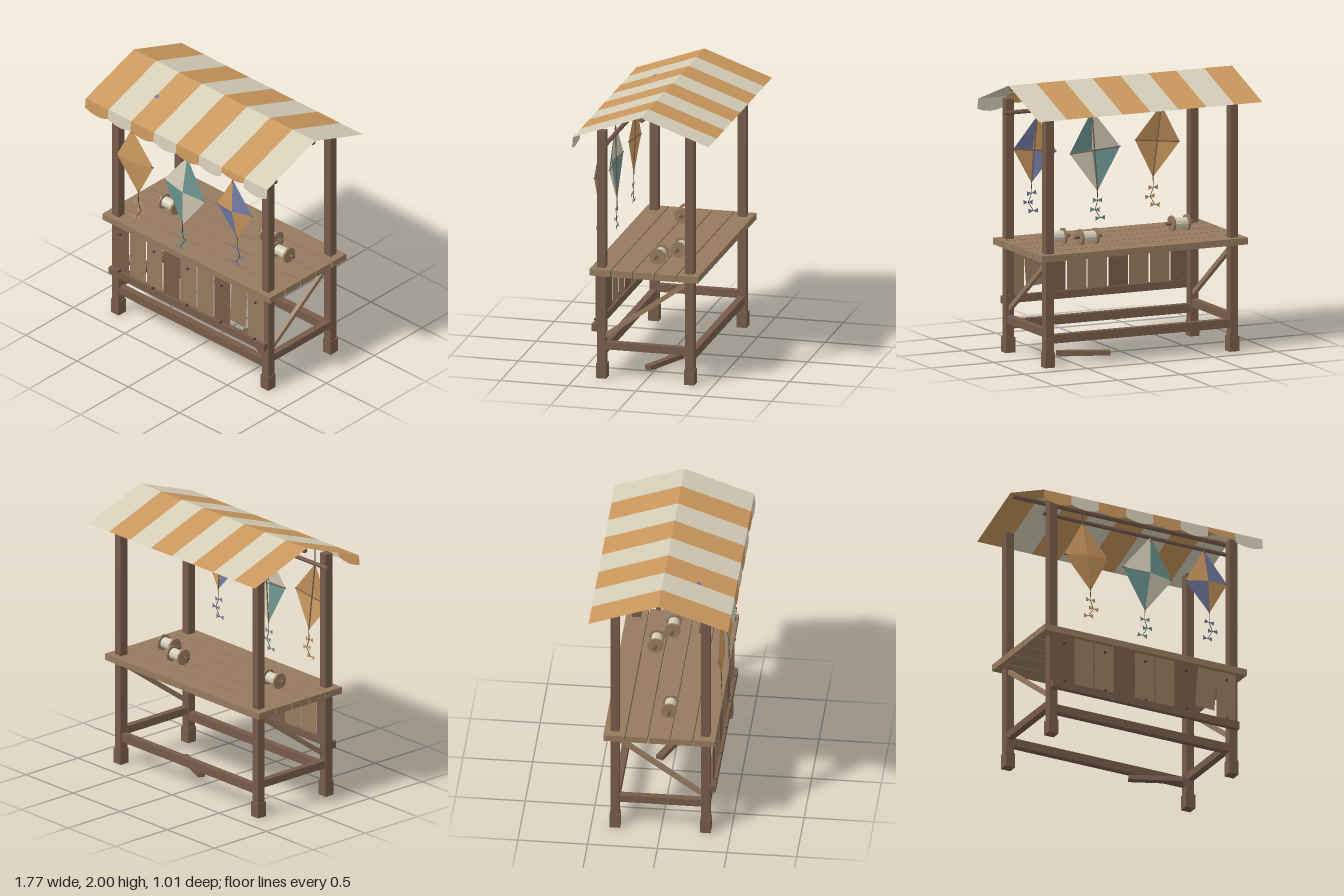
import * as THREE from 'three';

const mat = (name, color, side = THREE.FrontSide) => {
  const m = new THREE.MeshStandardMaterial({ color, side });
  m.name = name;
  return m;
};

export function createModel() {
  const root = new THREE.Group();
  root.name = 'kiteStall';
  const darkWood = mat('dark wood', 0x765b49, THREE.DoubleSide);
  const lightWood = mat('light wood', 0x957a5f, THREE.DoubleSide);
  const orange = mat('orange cloth', 0xc8965c, THREE.DoubleSide);
  const cream = mat('cream cloth', 0xd3ccb6, THREE.DoubleSide);
  const teal = mat('teal cloth', 0x6b938f, THREE.DoubleSide);
  const blue = mat('blue cloth', 0x7178a0, THREE.DoubleSide);
  const iron = mat('dark iron and string', 0x4a3c33);

  const add = (name, geo, material, parent = root) => {
    const m = new THREE.Mesh(geo, material);
    m.name = name;
    parent.add(m);
    return m;
  };
  const box = (name, material, w, h, d, x, y, z, parent) => {
    const m = add(name, new THREE.BoxGeometry(w, h, d), material, parent);
    m.position.set(x, y, z);
    return m;
  };
  // Straight rod between two points
  const rod = (name, material, a, b, r, sides = 8, parent = root) => {
    const A = new THREE.Vector3(...a), B = new THREE.Vector3(...b);
    const dir = B.clone().sub(A);
    const geo = new THREE.CylinderGeometry(r, r, dir.length(), sides).toNonIndexed();
    geo.computeVertexNormals();
    const m = add(name, geo, material, parent);
    m.position.copy(A).add(B).multiplyScalar(0.5);
    m.quaternion.setFromUnitVectors(new THREE.Vector3(0, 1, 0), dir.normalize());
    return m;
  };
  // Flat polygons, each a fan of triangles
  const cloth = (name, material, polys, parent = root) => {
    const pos = [];
    for (const p of polys)
      for (let i = 1; i < p.length - 1; i++) pos.push(...p[0], ...p[i], ...p[i + 1]);
    const geo = new THREE.BufferGeometry();
    geo.setAttribute('position', new THREE.Float32BufferAttribute(pos, 3));
    geo.computeVertexNormals();
    return add(name, geo, material, parent);
  };

  // Posts, feet, side rails and braces
  for (const x of [-0.73, 0.73]) {
    for (const z of [0.32, -0.33]) {
      box('post', darkWood, 0.062, 1.84, 0.063, x, 0.92, z);
      box('foot', darkWood, 0.076, 0.11, 0.076, x, 0.055, z);
    }
    box('sideRail', darkWood, 0.05, 0.055, 0.6, x, 0.243, -0.005);
    const brace = box('brace', lightWood, 0.03, 0.032, 0.74, x, 0.53, -0.005);
    brace.rotation.x = Math.atan2(0.43, 0.6);
  }
  for (const z of [0.32, -0.33]) box('longRail', darkWood, 1.4, 0.062, 0.05, 0, 0.203, z);

  // Counter planks
  for (let i = 0; i < 5; i++)
    box('counterPlank', lightWood, 1.635, 0.048, 0.153, -0.002, 0.8, 0.316 - i * 0.1615);

  // Front boards, one hanging loose, with nails and a bottom batten
  for (let i = 0; i < 9; i++) {
    const x = -0.658 + i * 0.1645, loose = i === 7;
    const h = loose ? 0.31 : 0.4;
    const board = add('frontBoard', new THREE.PlaneGeometry(0.155, h),
      i % 3 === 0 ? darkWood : lightWood);
    board.position.set(loose ? 0.495 : x, loose ? 0.61 : 0.57, loose ? 0.376 : 0.37);
    if (loose) board.rotation.z = -0.075;
    if (i % 2 === 0) {
      rod('nail', iron, [x, 0.71, 0.368], [x, 0.71, 0.388], 0.008, 6);
      rod('nail', iron, [x, 0.405, 0.375], [x, 0.405, 0.398], 0.008, 6);
    }
  }
  box('frontBatten', darkWood, 1.515, 0.055, 0.037, 0, 0.372, 0.3735);

  // Loose timber on the ground
  box('fallenTimber', darkWood, 0.387, 0.035, 0.053, 0.302, 0.0175, -0.027).rotation.y = -0.41;

  // Roof poles
  rod('ridgePole', darkWood, [-0.87, 1.978, -0.006], [0.87, 1.978, -0.006], 0.019);
  rod('frontPole', darkWood, [-0.78, 1.742, 0.29], [0.78, 1.742, 0.29], 0.016);

  // Striped awning with scalloped valance; one flap is torn short
  const W = 1.77 / 8, eave = 1.82, zr = -0.006, zf = 0.495, zb = -0.505;
  for (let i = 0; i < 8; i++) {
    const a = -0.885 + i * W, b = a + W, c = i % 2 ? cream : orange;
    cloth('awningStripe', c, [
      [[a, eave, zf], [b, eave, zf], [b, 2, zr], [a, 2, zr]],
      [[a, 2, zr], [b, 2, zr], [b, eave, zb], [a, eave, zb]],
    ]);
    const edge = i === 6 ? 1.782 : 1.745, low = i === 6 ? 1.762 : 1.722;
    cloth('valanceFlap', c, [[
      [a, eave, zf], [a, edge, 0.503], [a + W * 0.3, low + 0.006, 0.505],
      [a + W * 0.55, low, 0.505], [a + W * 0.8, low + 0.008, 0.505],
      [b, edge, 0.503], [b, eave, zf],
    ]]);
  }
  const patch = add('awningPatch', new THREE.CircleGeometry(0.02, 6), blue);
  patch.position.set(-0.43, 2 - 0.18 * (0.246 / 0.501) + 0.003, 0.24);
  patch.rotation.x = -Math.PI / 2 + Math.atan2(0.18, 0.501);

  // Line spools
  for (const [x, z] of [[-0.488, 0.037], [0.326, -0.148], [0.53, -0.048]]) {
    const g = new THREE.Group();
    g.name = 'spool';
    g.position.set(x, 0.884, z);
    root.add(g);
    rod('spoolAxle', darkWood, [-0.108, 0, 0], [0.108, 0, 0], 0.012, 8, g);
    rod('woundLine', cream, [-0.055, 0, 0], [0.055, 0, 0], 0.04, 12, g);
    for (const s of [-1, 1])
      rod('spoolFlange', lightWood, [s * 0.051, 0, 0], [s * 0.067, 0, 0], 0.058, 12, g);
  }

  // Kites: corners top, right, bottom, left, then centre; cloth A is top left and bottom right
  const kites = [
    { a: orange, b: orange, tail: orange, z: 0.402, c: [-0.5, 1.42],
      p: [[-0.522, 1.677], [-0.313, 1.438], [-0.456, 1.157], [-0.668, 1.398]],
      bows: [[-0.459, 1.082, 0], [-0.433, 1.018, -0.1], [-0.474, 0.955, 0.1]] },
    { a: cream, b: teal, tail: teal, z: 0.41, c: [0.008, 1.388],
      p: [[0.024, 1.68], [0.2, 1.376], [-0.02, 1.09], [-0.2, 1.4]],
      bows: [[-0.022, 1.023, 0.05], [-0.002, 0.957, 0.1], [-0.043, 0.893, -0.05]] },
    { a: orange, b: blue, tail: blue, z: 0.402, c: [0.482, 1.43],
      p: [[0.46, 1.677], [0.65, 1.45], [0.507, 1.195], [0.31, 1.41]],
      bows: [[0.504, 1.12, -0.1], [0.532, 1.055, 0.05], [0.49, 0.99, 0]] },
  ];
  for (const k of kites) {
    const g = new THREE.Group();
    g.name = 'kite';
    root.add(g);
    const [top, right, bottom, left] = k.p.map(([x, y]) => [x, y, k.z]);
    const mid = [...k.c, k.z + 0.032];
    cloth('kitePanelsA', k.a, [[left, mid, top], [right, mid, bottom]], g);
    cloth('kitePanelsB', k.b, [[top, mid, right], [bottom, mid, left]], g);
    rod('kiteSpine', darkWood, top, bottom, 0.005, 6, g);
    rod('kiteSpar', darkWood, left, right, 0.005, 6, g);
    rod('hangingString', iron, top, [top[0], 1.85, k.z], 0.0025, 5, g);
    // Tail string with bows
    let last = bottom;
    for (const [x, y, turn] of k.bows) {
      rod('tailString', iron, last, [x, y, k.z], 0.0025, 5, g);
      last = [x, y, k.z];
      const bow = cloth('tailBow', k.tail, [
        [[0, 0, 0], [0.037, -0.018, 0], [0.037, 0.018, 0]],
        [[0, 0, 0], [-0.037, 0.018, 0], [-0.037, -0.018, 0]],
      ], g);
      bow.position.set(x, y, k.z + 0.003);
      bow.rotation.z = turn;
    }
  }
  return root;
}
